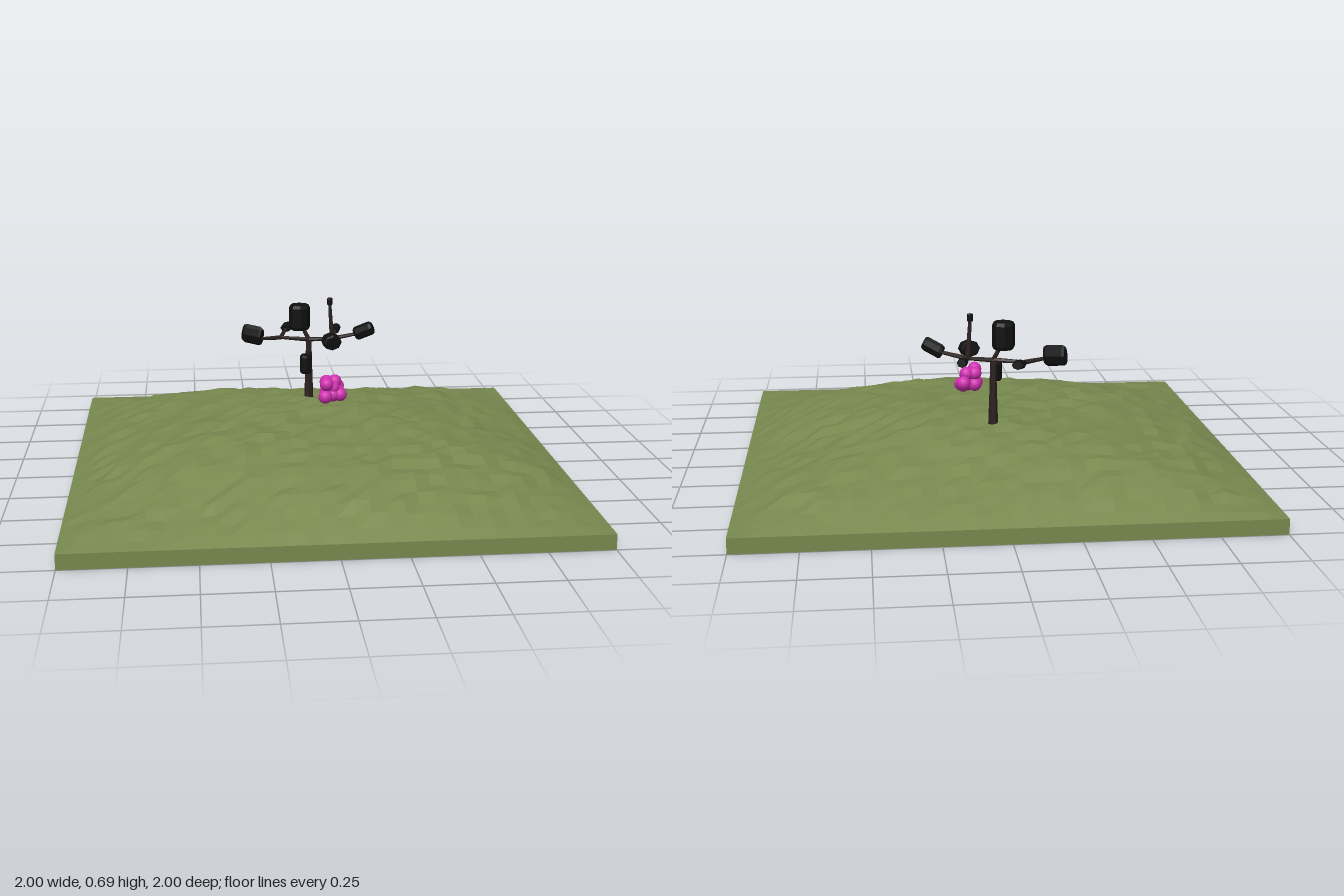
import * as THREE from 'three';

const grass = new THREE.MeshStandardMaterial({ color: 0x78894f, flatShading: true });
const bark = new THREE.MeshStandardMaterial({ color: 0x2b211f, flatShading: true });
const leaf = new THREE.MeshStandardMaterial({ color: 0x101010, flatShading: true });
const petal = new THREE.MeshStandardMaterial({ color: 0xd030b0 });
const UP = new THREE.Vector3(0, 1, 0);

// Repeatable value in -1..1 for a grid corner
function noise(i, j) {
  const s = Math.sin(i * 127.1 + j * 311.7 + 4.2) * 43758.5453;
  return (s - Math.floor(s)) * 2 - 1;
}

// Rounded hill that falls to the slab's rim, with small bumps
function groundHeight(x, z) {
  const dome = (1 - Math.abs(x) ** 2.4) * (1 - Math.abs(z) ** 2.4);
  const rim = Math.min(1, 6 * (1 - Math.max(Math.abs(x), Math.abs(z))));
  const waves = 0.012 * Math.sin(5 * x + 1) * Math.cos(6 * z + 1.2);
  const bumps = 0.011 * noise(Math.round(x * 16), Math.round(z * 16));
  return 0.06 + 0.178 * dome + rim * (waves + bumps + 0.006);
}

function add(parent, name, geometry, material) {
  const mesh = new THREE.Mesh(geometry, material);
  mesh.name = name;
  parent.add(mesh);
  return mesh;
}

// Tapered limb between two points
function limb(parent, name, a, b, r0, r1) {
  const p = new THREE.Vector3(...a), q = new THREE.Vector3(...b);
  const dir = q.clone().sub(p);
  const mesh = add(parent, name, new THREE.CylinderGeometry(r1, r0, dir.length(), 7), bark);
  mesh.position.copy(p).add(q).multiplyScalar(0.5);
  mesh.quaternion.setFromUnitVectors(UP, dir.normalize());
}

// Faceted leaf clump: a chamfered drum with its own axis, length and two radii
function clump(parent, at, axis, length, ry, rz) {
  const h = length / 2;
  const profile = [[0, -h], [0.85, -h], [1, -h * 0.75], [1, h * 0.75], [0.85, h], [0, h]];
  const geo = new THREE.LatheGeometry(profile.map(p => new THREE.Vector2(...p)), 8);
  geo.scale(ry, 1, rz);
  const mesh = add(parent, 'leafClump', geo, leaf);
  const y = new THREE.Vector3(...axis).normalize();
  const z = Math.abs(y.y) > 0.9 ? new THREE.Vector3(0, 0, 1) : new THREE.Vector3().crossVectors(y, UP).normalize();
  const x = new THREE.Vector3().crossVectors(y, z).normalize();
  z.crossVectors(x, y);
  mesh.quaternion.setFromRotationMatrix(new THREE.Matrix4().makeBasis(x, y, z));
  mesh.position.set(...at);
}

export function createModel() {
  const model = new THREE.Group();
  model.name = 'hillWithTree';

  // Ground slab with a raised, faceted top
  const ground = new THREE.BoxGeometry(2, 0.06, 2, 32, 1, 32);
  const pos = ground.attributes.position;
  for (let i = 0; i < pos.count; i++) {
    pos.setY(i, pos.getY(i) > 0 ? groundHeight(pos.getX(i), pos.getZ(i)) : 0);
  }
  ground.computeVertexNormals();
  add(model, 'ground', ground, grass);

  // Tree
  const tree = new THREE.Group();
  tree.name = 'tree';
  model.add(tree);
  const top = [0, 0.5, -0.285], left = [-0.12, 0.5, -0.335], right = [0.1, 0.505, -0.27];
  limb(tree, 'trunk', [0, 0.2, -0.285], [0, 0.36, -0.285], 0.022, 0.016);
  limb(tree, 'trunk', [0, 0.36, -0.285], top, 0.016, 0.012);
  const branches = [
    [top, [-0.035, 0.57, -0.29]],
    [top, left], [left, [-0.21, 0.505, -0.295]], [left, [-0.09, 0.515, -0.435]],
    [top, right], [right, [0.21, 0.53, -0.25]], [right, [0.09, 0.66, -0.27]],
    [right, [0.125, 0.515, -0.38]], [right, [0.085, 0.515, -0.18]],
    [[0, 0.415, -0.285], [0, 0.415, -0.235]], [[0, 0.415, -0.235], [-0.025, 0.42, -0.17]],
  ];
  for (const [a, b] of branches) limb(tree, 'branch', a, b, 0.01, 0.007);

  // Leaf clumps at the branch tips
  clump(tree, [-0.04, 0.6, -0.29], [0, 1, 0], 0.11, 0.046, 0.046);
  clump(tree, [-0.243, 0.52, -0.315], [-0.8, 0.1, -0.45], 0.09, 0.042, 0.022);
  clump(tree, [-0.083, 0.52, -0.455], [0.35, 0.1, -0.9], 0.055, 0.018, 0.024);
  clump(tree, [0.235, 0.545, -0.238], [0.8, 0.4, 0.35], 0.085, 0.03, 0.021);
  clump(tree, [0.09, 0.67, -0.27], [0, 1, 0], 0.03, 0.012, 0.012);
  clump(tree, [0.13, 0.52, -0.4], [0.2, 0.1, -0.9], 0.055, 0.018, 0.02);
  clump(tree, [0.085, 0.52, -0.155], [0.2, -0.1, 0.9], 0.055, 0.034, 0.04);
  clump(tree, [-0.025, 0.425, -0.152], [0, 1, 0], 0.08, 0.025, 0.029);

  // Cluster of pink balls hovering above the hill
  const cluster = new THREE.Group();
  cluster.name = 'blossomCluster';
  model.add(cluster);
  const balls = [
    [0.045, 0.385, 0.045], [0.04, 0.33, 0.04], [0.05, 0.335, -0.02], [0.05, 0.38, -0.015],
    [0.075, 0.36, 0.005], [0.085, 0.38, -0.02], [0.075, 0.33, 0.01], [0.105, 0.33, 0.008],
    [0.1, 0.335, -0.03], [0.1, 0.35, -0.06],
  ];
  const sphere = new THREE.SphereGeometry(0.029, 14, 10);
  for (const p of balls) add(cluster, 'blossom', sphere, petal).position.set(...p);

  return model;
}
